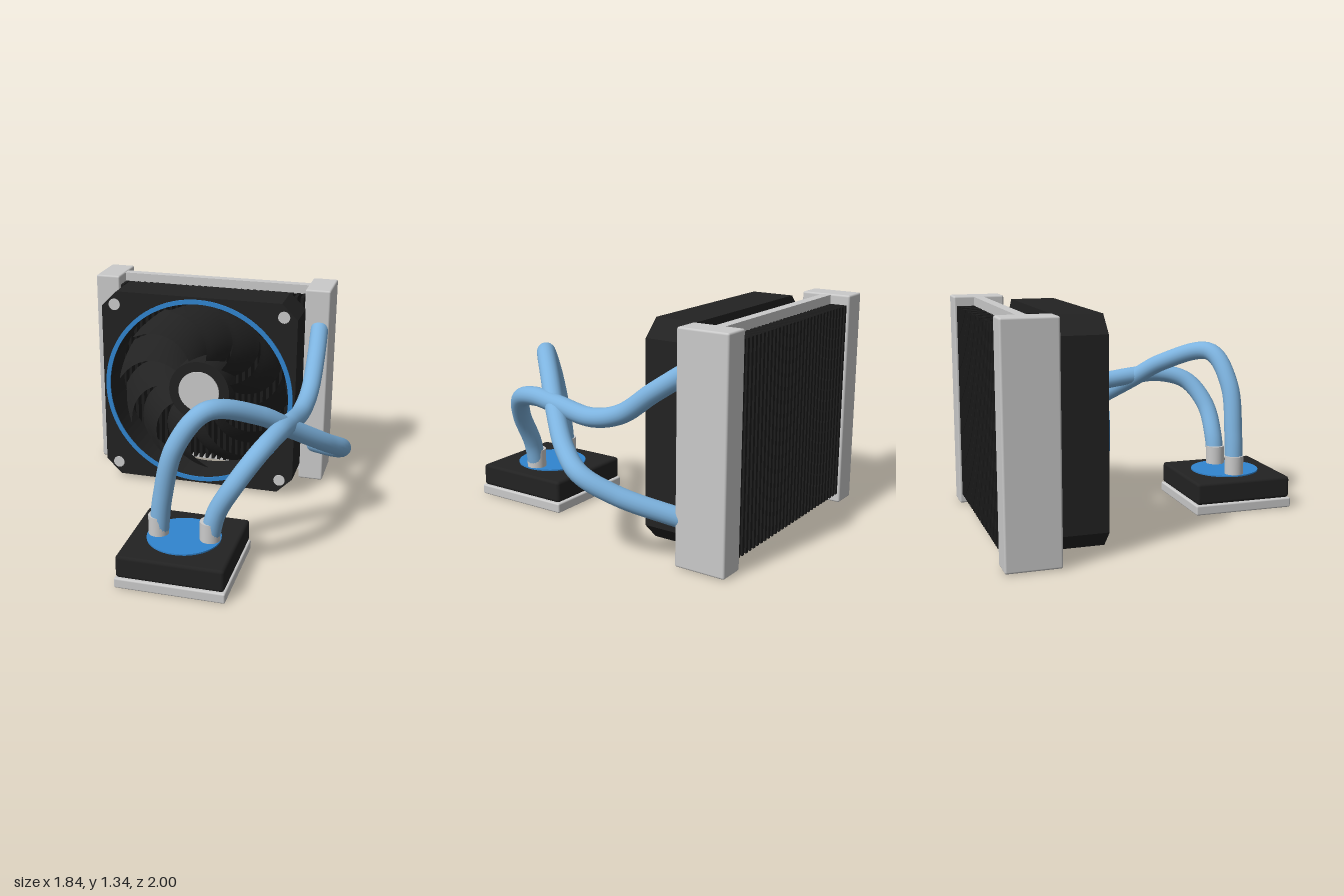
import * as THREE from 'three';
import { RoundedBoxGeometry } from 'three/addons/geometries/RoundedBoxGeometry.js';

const material = (name, color, side = THREE.FrontSide) => {
  const m = new THREE.MeshStandardMaterial({ color, side });
  m.name = name;
  return m;
};

export function createModel() {
  const model = new THREE.Group();
  model.name = 'liquidCooler';
  const silver = material('silver', 0xcacaca);
  const black = material('black', 0x222222);
  const bladeBlack = material('bladeBlack', 0x222222, THREE.DoubleSide);
  const finBlack = material('finBlack', 0x1c1c1c);
  const blue = material('blue', 0x3185d0);
  const hoseBlue = material('hoseBlue', 0x7db3df);

  const add = (name, geometry, mat, parent = model) => {
    const mesh = new THREE.Mesh(geometry, mat);
    mesh.name = name;
    parent.add(mesh);
    return mesh;
  };
  // Box given by its limits; bevel > 0 cuts the edges
  const box = (name, mat, [x0, x1], [y0, y1], [z0, z1], bevel = 0, parent = model) => {
    const size = [x1 - x0, y1 - y0, z1 - z0];
    const g = bevel ? new RoundedBoxGeometry(...size, 2, bevel) : new THREE.BoxGeometry(...size);
    g.translate((x0 + x1) / 2, (y0 + y1) / 2, (z0 + z1) / 2);
    return add(name, g, mat, parent);
  };

  // Radiator: end tanks, rails and upright fins
  const radiator = new THREE.Group();
  radiator.name = 'radiator';
  model.add(radiator);
  box('rightTank', silver, [-0.92, -0.755], [0.005, 1.34], [-0.995, -0.68], 0.012, radiator);
  box('leftTank', silver, [0.51, 0.675], [0.005, 1.34], [-0.995, -0.68], 0.012, radiator);
  box('topRail', silver, [-0.77, 0.52], [1.275, 1.335], [-0.87, -0.81], 0, radiator);
  box('bottomRail', silver, [-0.77, 0.52], [0.01, 0.07], [-0.87, -0.81], 0, radiator);
  for (let i = 0; i < 30; i++) {
    const x = -0.741 + i * 0.0424;
    box('fin', finBlack, [x - 0.01, x + 0.01], [0.065, 1.28], [-0.98, -0.7], 0, radiator);
  }

  // Fan, built around its own axis
  const fan = new THREE.Group();
  fan.name = 'fan';
  fan.position.set(-0.125, 0.675, -0.65);
  model.add(fan);
  const depth = 0.27, half = 0.647, cut = 0.545;
  const outline = new THREE.Shape([
    [-cut, -half], [cut, -half], [half, -cut], [half, cut],
    [cut, half], [-cut, half], [-half, cut], [-half, -cut],
  ].map(([x, y]) => new THREE.Vector2(x, y)));
  outline.holes.push(new THREE.Path().absarc(0, 0, 0.605, 0, Math.PI * 2, true));
  add('fanFrame', new THREE.ExtrudeGeometry(outline, { depth, bevelEnabled: false, curveSegments: 48 }), black, fan);

  // Accent ring on the frame
  const band = new THREE.Shape().absarc(0, 0, 0.632, 0, Math.PI * 2, false);
  band.holes.push(new THREE.Path().absarc(0, 0, 0.603, 0, Math.PI * 2, true));
  const ring = add('accentRing', new THREE.ExtrudeGeometry(band, { depth: 0.009, bevelEnabled: false, curveSegments: 48 }), blue, fan);
  ring.position.z = depth;

  // Round parts facing forward: hub, cap and corner screws
  const disc = (name, mat, r, x, y, z0, z1) => {
    const g = new THREE.CylinderGeometry(r, r, z1 - z0, 40);
    g.rotateX(Math.PI / 2).translate(x, y, (z0 + z1) / 2);
    add(name, g, mat, fan);
  };
  disc('hub', black, 0.205, 0, 0, 0.04, 0.24);
  disc('hubCap', silver, 0.138, 0, 0, 0.24, 0.249);
  for (const sx of [-1, 1]) for (const sy of [-1, 1]) {
    disc('cornerScrew', silver, 0.038, sx * 0.56, sy * 0.56, depth, depth + 0.006);
  }

  // Swept, pitched fan blades
  const blade = new THREE.PlaneGeometry(1, 1, 6, 10);
  const p = blade.attributes.position;
  for (let i = 0; i < p.count; i++) {
    const u = p.getX(i), t = p.getY(i) + 0.5;
    const r = 0.18 + 0.385 * t;
    const a = 0.6 * t * t + u * (0.5 - 0.06 * t);
    p.setXYZ(i, r * Math.cos(a), r * Math.sin(a), 0.14 + u * 0.14 - 0.03 * u * u);
  }
  blade.computeVertexNormals();
  const bladeCount = 11;
  for (let i = 0; i < bladeCount; i++) {
    add('fanBlade', blade, bladeBlack, fan).rotation.z = (i / bladeCount) * Math.PI * 2;
  }

  // Pump block with cold plate, top disc and hose fittings
  const pump = new THREE.Group();
  pump.name = 'pump';
  model.add(pump);
  box('coldPlate', silver, [-0.23, 0.415], [0, 0.062], [0.355, 1], 0.01, pump);
  box('pumpBody', black, [-0.223, 0.407], [0.062, 0.2], [0.363, 0.992], 0.02, pump);
  const cylinder = (name, mat, r, x, y0, y1) => {
    const g = new THREE.CylinderGeometry(r, r, y1 - y0, 40);
    add(name, g.translate(x, (y0 + y1) / 2, 0.675), mat, pump);
  };
  cylinder('topDisc', blue, 0.217, 0.09, 0.2, 0.209);
  cylinder('fitting', silver, 0.06, -0.063, 0.2, 0.325);
  cylinder('fitting', silver, 0.06, 0.245, 0.2, 0.325);

  // Hoses from the pump to the left tank
  const hose = (name, points) => {
    const path = new THREE.CatmullRomCurve3(points.map((q) => new THREE.Vector3(...q)));
    add(name, new THREE.TubeGeometry(path, 90, 0.057, 20), hoseBlue);
  };
  hose('lowerHose', [
    [-0.06, 0.23, 0.675], [-0.035, 0.45, 0.68], [0.045, 0.77, 0.68], [0.2, 0.965, 0.61],
    [0.45, 0.875, 0.37], [0.61, 0.74, 0.2], [0.79, 0.58, -0.02], [0.86, 0.49, -0.18],
    [0.79, 0.385, -0.39], [0.61, 0.265, -0.7],
  ]);
  hose('upperHose', [
    [0.245, 0.23, 0.675], [0.28, 0.38, 0.675], [0.39, 0.58, 0.66], [0.5, 0.735, 0.56],
    [0.565, 0.785, 0.38], [0.59, 0.77, 0.2], [0.615, 0.742, -0.07], [0.628, 0.8, -0.29],
    [0.625, 0.95, -0.5], [0.61, 1.085, -0.7],
  ]);
  return model;
}
